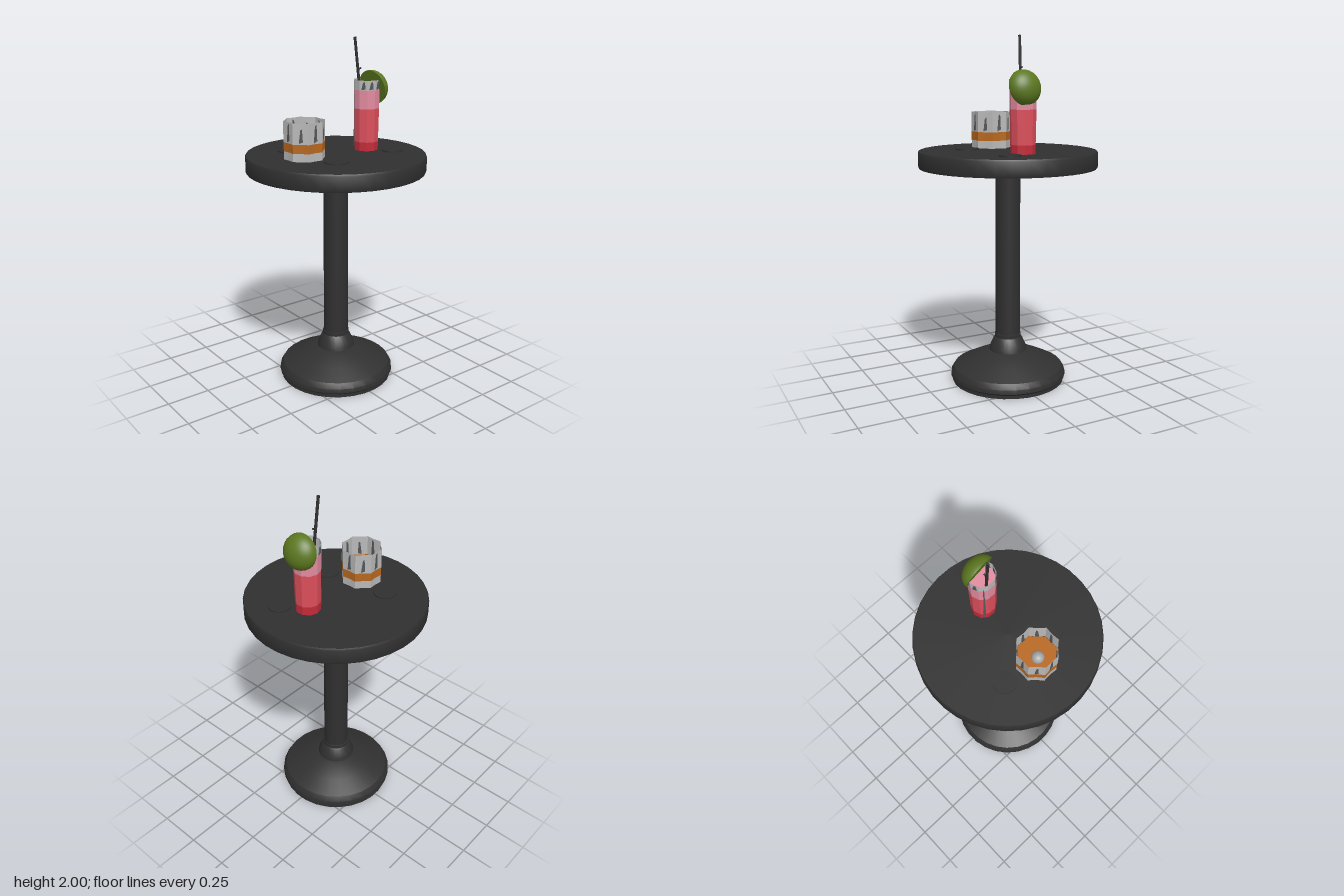
import * as THREE from 'three';
import { toCreasedNormals } from 'three/addons/utils/BufferGeometryUtils.js';

const mat = (name, color, side = THREE.FrontSide) => {
  const m = new THREE.MeshStandardMaterial({ color, side });
  m.name = name;
  return m;
};

export function createModel() {
  const black = mat('black table', 0x303030);
  const glass = mat('grey glass', 0xb9b9b9, THREE.DoubleSide);
  const smoke = mat('dark glass reflection', 0x55585a);
  const amber = mat('amber drink', 0xb8681e);
  const ice = mat('ice', 0xa6a6a6);
  const red = mat('red drink', 0xdd4f5c);
  const deepRed = mat('deep red drink', 0xc42c3a);
  const pink = mat('pink drink', 0xe48ca0);
  const lime = mat('lime green', 0x5c7820);

  const model = new THREE.Group();
  model.name = 'barTable';
  const add = (parent, name, geometry, material, x = 0, y = 0, z = 0) => {
    const mesh = new THREE.Mesh(geometry, material);
    mesh.name = name;
    mesh.position.set(x, y, z);
    parent.add(mesh);
    return mesh;
  };
  const lathe = (points, sides) => toCreasedNormals(
    new THREE.LatheGeometry(points.map(p => new THREE.Vector2(...p)), sides, Math.PI / sides), 0.5);
  const group = (name, x, y, z) => {
    const g = new THREE.Group();
    g.name = name;
    g.position.set(x, y, z);
    model.add(g);
    return g;
  };

  // Pedestal and round top
  add(model, 'foot', lathe([[0, 0], [0.33, 0], [0.33, 0.02], [0.34, 0.03], [0.338, 0.055],
    [0.32, 0.085], [0.22, 0.135], [0.115, 0.18], [0, 0.18]], 28), black);
  add(model, 'collar', lathe([[0.112, 0.175], [0.107, 0.2], [0.085, 0.25], [0.077, 0.26],
    [0.077, 0.28], [0.06, 0.285]], 24), black);
  add(model, 'column', new THREE.CylinderGeometry(0.071, 0.073, 1.02, 24), black, 0, 0.77, 0);
  add(model, 'tableTop', lathe([[0, 1.27], [0.508, 1.27], [0.512, 1.28], [0.512, 1.355],
    [0.507, 1.365], [0, 1.365]], 36), black);

  // Thin coasters
  for (const [x, z, r] of [[-0.185, -0.198, 0.064], [-0.14, 0.19, 0.067], [0.298, 0.142, 0.06]]) {
    add(model, 'coaster', new THREE.CylinderGeometry(r, r, 0.008, 24), black, x, 1.369, z);
  }

  // Tapered reflection plate set into a glass wall
  const streak = (parent, angle, radius, y, w, h) => {
    const s = new THREE.Shape([[-w / 2, 0], [w / 2, h * 0.1], [w * 0.3, h], [-w * 0.1, h * 0.9]]
      .map(p => new THREE.Vector2(...p)));
    const g = new THREE.ExtrudeGeometry(s, { depth: 0.006, bevelEnabled: false });
    const mesh = add(parent, 'reflection', g, smoke,
      Math.sin(angle) * (radius - 0.003), y, Math.cos(angle) * (radius - 0.003));
    mesh.rotation.y = angle;
  };

  // Fluted tumbler: eight corners with slightly hollow sides
  const tumbler = group('tumbler', -0.215, 1.365, 0);
  const fluted = (y0, y1, r, open) => {
    const g = new THREE.CylinderGeometry(r, r, y1 - y0, 16, 1, open);
    const p = g.attributes.position;
    for (let i = 0; i < p.count; i++) {
      const k = Math.round(Math.atan2(p.getX(i), p.getZ(i)) / (Math.PI / 8));
      const f = k % 2 === 0 ? 0.89 : 1;
      p.setXYZ(i, p.getX(i) * f, p.getY(i) + (y0 + y1) / 2, p.getZ(i) * f);
    }
    return toCreasedNormals(g, 0.25);
  };
  add(tumbler, 'tumblerBase', fluted(0, 0.045, 0.115, false), glass);
  add(tumbler, 'amberDrink', fluted(0.045, 0.095, 0.115, false), amber);
  add(tumbler, 'tumblerWall', fluted(0.095, 0.21, 0.116, true), glass);
  add(tumbler, 'iceBall', new THREE.SphereGeometry(0.035, 16, 12), ice, -0.012, 0.1, -0.005);
  for (let i = 0; i < 8; i++) {
    streak(tumbler, i * Math.PI / 4, 0.103, 0.1, 0.022, i % 2 ? 0.08 : 0.1);
  }

  // Tall glass with layered drink
  const tall = group('tallGlass', 0.207, 1.365, 0.016);
  const radiusAt = y => 0.069 + 0.007 * y / 0.4;
  const layer = (y0, y1, open) => {
    const g = new THREE.CylinderGeometry(radiusAt(y1), radiusAt(y0), y1 - y0, 10, 1, open);
    g.translate(0, (y0 + y1) / 2, 0);
    return toCreasedNormals(g, 0.4);
  };
  add(tall, 'deepRedLayer', layer(0, 0.05, false), deepRed);
  add(tall, 'redLayer', layer(0.05, 0.24, false), red);
  add(tall, 'pinkLayer', layer(0.24, 0.345, false), pink);
  add(tall, 'tallGlassRim', layer(0.345, 0.4, true), glass);
  const face = Math.PI / 10;
  streak(tall, face * 13, 0.069, 0.02, 0.013, 0.35);
  for (const k of [-3, -1, 1, 9, 11]) streak(tall, face * k, 0.072, 0.348, 0.025, 0.045);

  // Lime half on the rim, flat side towards the straw
  const wedge = group('limeHalf', 0.238, 1.72, 0.027);
  wedge.quaternion.setFromUnitVectors(new THREE.Vector3(0, 1, 0),
    new THREE.Vector3(0.97, 0.24, -0.12).normalize());
  const dome = new THREE.SphereGeometry(0.098, 28, 10, 0, Math.PI * 2, 0, Math.PI / 2);
  dome.scale(1, 0.78, 1);
  add(wedge, 'limePeel', dome, lime);
  add(wedge, 'limeCut', new THREE.CircleGeometry(0.098, 28).rotateX(Math.PI / 2), lime);

  // Straw with a small side nub
  const rod = (name, a, b, r) => {
    const path = new THREE.LineCurve3(new THREE.Vector3(...a), new THREE.Vector3(...b));
    const dir = path.getTangent(0);
    const mid = path.getPoint(0.5);
    const mesh = add(model, name, new THREE.CylinderGeometry(r, r, path.getLength(), 8), black, mid.x, mid.y, mid.z);
    mesh.quaternion.setFromUnitVectors(new THREE.Vector3(0, 1, 0), dir);
  };
  rod('straw', [0.165, 1.69, 0.008], [0.133, 2, -0.002], 0.008);
  rod('strawNub', [0.148, 1.822, 0.004], [0.172, 1.83, 0.004], 0.005);

  return model;
}
